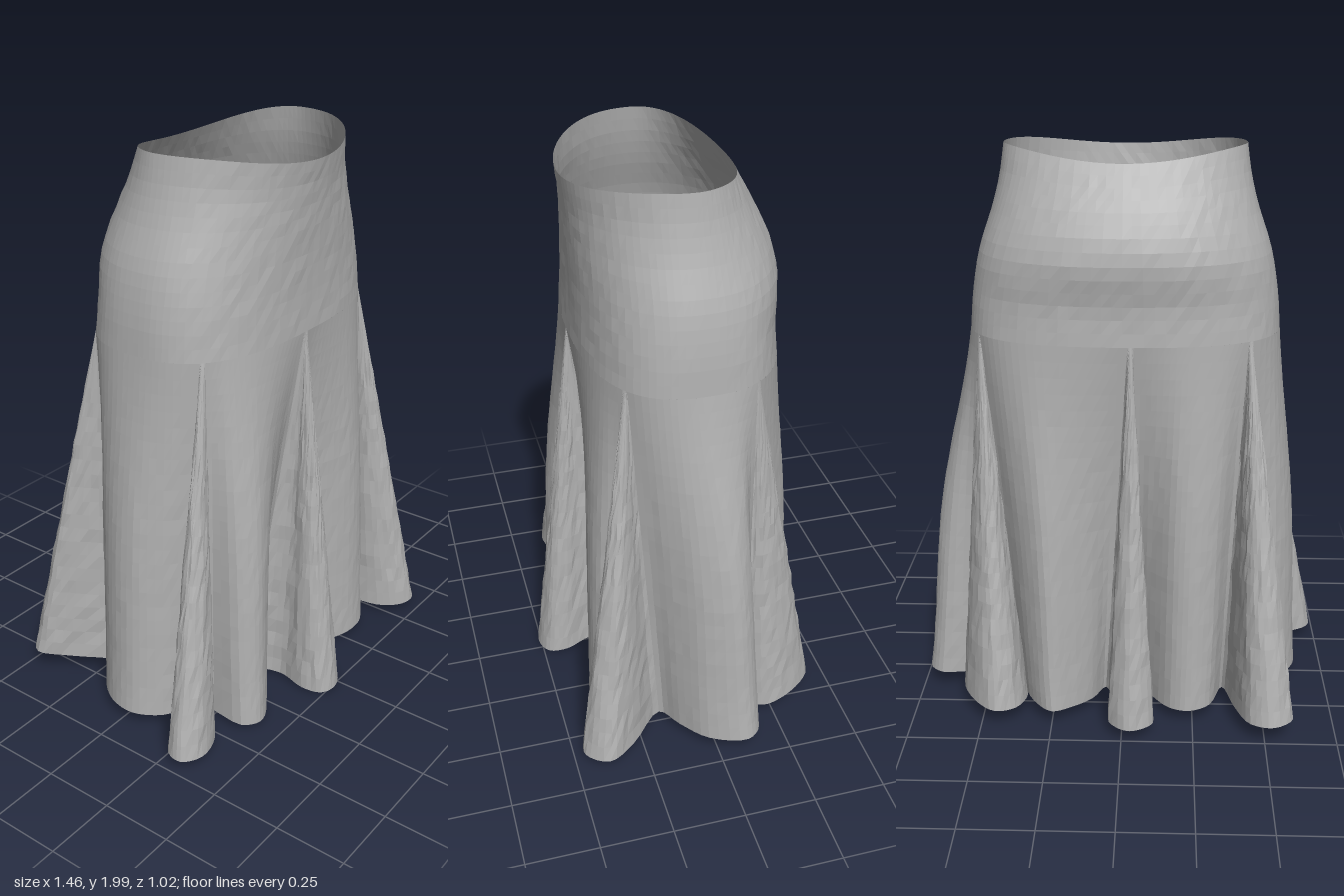
import * as THREE from 'three';

const SUB = 4;          // columns between neighbouring hem points
const HIP = 1.38;       // height where the godets begin
const MIDDLE = 0.02;    // z of the widest line of waist and hips
const YOKE_ROWS = 14, SKIRT_ROWS = 24;

// Hip and waist profile by height: half width, front z, back z, squareness
const heights = [1.38, 1.5, 1.65, 1.8, 1.9, 2.0];
const profile = new THREE.CubicInterpolant(heights, [
  0.537, 0.345, -0.326, 2.6,
  0.527, 0.34, -0.32, 2.5,
  0.50, 0.34, -0.334, 2.3,
  0.45, 0.345, -0.29, 2.15,
  0.425, 0.35, -0.245, 2.05,
  0.41, 0.36, -0.2, 2.0,
], 4);

// Godets: apex angle at the hip (0 = front, 90 = left side) and hem x, z from fold to fold
const godets = [
  { name: 'frontGodet', angle: -4, hem: [[-0.16, 0.2], [-0.1, 0.31], [-0.12, 0.42], [-0.1, 0.49], [-0.04, 0.51], [0.03, 0.48], [0.04, 0.41], [0.0, 0.31], [0.035, 0.16]] },
  { name: 'frontLeftGodet', angle: 48, hem: [[0.45, 0.245], [0.485, 0.38], [0.55, 0.455], [0.62, 0.465], [0.68, 0.39], [0.62, 0.29], [0.495, 0.165]] },
  { name: 'backLeftGodet', angle: 121, hem: [[0.56, -0.14], [0.585, -0.22], [0.53, -0.35], [0.45, -0.42], [0.38, -0.39], [0.345, -0.29], [0.37, -0.21]] },
  { name: 'backGodet', angle: 183, hem: [[0.065, -0.2], [0.035, -0.33], [0.045, -0.45], [-0.03, -0.51], [-0.11, -0.46], [-0.08, -0.34], [-0.015, -0.23], [-0.035, -0.145]] },
  { name: 'backRightGodet', angle: 227, hem: [[-0.36, -0.21], [-0.4, -0.36], [-0.45, -0.48], [-0.53, -0.51], [-0.6, -0.45], [-0.54, -0.34], [-0.44, -0.17]] },
  { name: 'frontRightGodet', angle: 308, hem: [[-0.495, 0.185], [-0.61, 0.22], [-0.72, 0.28], [-0.73, 0.34], [-0.66, 0.38], [-0.55, 0.35], [-0.445, 0.24]] },
];

// Body panels that follow each godet, hem x, z between the folds
const panels = [
  { name: 'frontLeftPanel', hem: [[0.1, 0.27], [0.18, 0.34], [0.3, 0.38], [0.39, 0.36]] },
  { name: 'leftPanel', hem: [[0.58, 0.11], [0.68, 0.03], [0.73, -0.1], [0.68, -0.155]] },
  { name: 'backLeftPanel', hem: [[0.32, -0.33], [0.25, -0.4], [0.18, -0.36], [0.11, -0.29]] },
  { name: 'backRightPanel', hem: [[-0.09, -0.24], [-0.17, -0.355], [-0.24, -0.38], [-0.31, -0.34]] },
  { name: 'rightPanel', hem: [[-0.56, -0.14], [-0.63, -0.05], [-0.64, 0.05], [-0.58, 0.14]] },
  { name: 'frontRightPanel', hem: [[-0.44, 0.38], [-0.38, 0.42], [-0.3, 0.39], [-0.23, 0.3]] },
];

// Repeatable value in -1..1 for cloth wrinkles
function wrinkle(i, j) {
  const v = Math.sin(i * 127.1 + j * 311.7) * 43758.5453;
  return 2 * (v - Math.floor(v)) - 1;
}

// Point on the fitted upper part; the rim dips at front and back
function yokePoint(degrees, y) {
  const [rx, front, back, n] = profile.evaluate(y);
  const a = THREE.MathUtils.degToRad(degrees), s = Math.sin(a), c = Math.cos(a);
  const r = 1 / Math.pow(Math.abs(s) ** n + Math.abs(c) ** n, 1 / n);
  const dip = 0.045 * Math.max(0, (y - 1.75) / 0.25) * Math.abs(c) ** 3;
  const depth = c > 0 ? front - MIDDLE : MIDDLE - back;
  return new THREE.Vector3(rx * r * s, y - dip, MIDDLE + depth * r * c);
}

// Join godets and panels into one ring of hem points with matching hip angles
function layOut() {
  const points = [], angles = [], pieces = [];
  const halfWidth = 1.3;
  godets.forEach((g, k) => {
    const next = k + 1 < godets.length ? godets[k + 1].angle : godets[0].angle + 360;
    const start = points.length, last = g.hem.length - 1;
    g.hem.forEach((p, i) => {
      points.push(p);
      angles.push(g.angle + halfWidth * (2 * i / last - 1));
    });
    pieces.push({ name: g.name, from: start, to: start + last, rough: 0.003, fullness: 0 });
    const panel = panels[k], from = g.angle + halfWidth, to = next - halfWidth;
    panel.hem.forEach((p, i) => {
      points.push(p);
      angles.push(from + (to - from) * (i + 1) / (panel.hem.length + 1));
    });
    pieces.push({ name: panel.name, from: start + last, to: points.length, rough: 0.001, fullness: 0.17 });
  });
  angles.push(godets[0].angle - halfWidth + 360);
  const curve = new THREE.CatmullRomCurve3(points.map(([x, z]) => new THREE.Vector3(x, 0, z)), true, 'centripetal');
  return { curve, angles, pieces, count: points.length };
}

// Sheet of quads from a rule giving the point for a column and row
function sheet(name, from, to, rows, material, pointAt) {
  const position = [], index = [], stride = rows + 1;
  for (let i = from; i <= to; i++) {
    for (let j = 0; j <= rows; j++) {
      position.push(...pointAt(i, j).toArray());
      if (i < to && j < rows) {
        const a = (i - from) * stride + j, b = a + stride;
        index.push(a, a + 1, b, b, a + 1, b + 1);
      }
    }
  }
  const geometry = new THREE.BufferGeometry();
  geometry.setAttribute('position', new THREE.Float32BufferAttribute(position, 3));
  geometry.setIndex(index);
  geometry.computeVertexNormals();
  const mesh = new THREE.Mesh(geometry, material);
  mesh.name = name;
  return mesh;
}

export function createModel() {
  const group = new THREE.Group();
  group.name = 'skirt';
  const cloth = new THREE.MeshStandardMaterial({ color: 0xb0b0b0, side: THREE.DoubleSide, flatShading: true });
  cloth.name = 'grey cloth';
  const { curve, angles, pieces, count } = layOut();
  const columns = count * SUB;

  const angleAt = (i) => {
    const k = Math.min(Math.floor(i / SUB), count - 1);
    return THREE.MathUtils.lerp(angles[k], angles[k + 1], i / SUB - k);
  };

  // Fitted waist and hips
  const yokeColumns = 96;
  group.add(sheet('yoke', 0, yokeColumns, YOKE_ROWS, cloth, (i, j) => {
    const p = yokePoint(360 * i / yokeColumns, 2 - (2 - HIP) * j / YOKE_ROWS);
    if (j > 0 && j < YOKE_ROWS) p.z += 0.0015 * wrinkle(i % yokeColumns, j);
    return p;
  }));

  // Flaring panels and godets, from the hip line to the wavy hem
  for (const piece of pieces) {
    const from = piece.from * SUB, to = piece.to * SUB;
    group.add(sheet(piece.name, from, to, SKIRT_ROWS, cloth, (i, j) => {
      const s = j / SKIRT_ROWS;
      const hem = curve.getPoint((i % columns) / columns);
      hem.y = 0.03 + 0.045 * Math.abs(hem.x) - 0.045 * hem.z;
      const p = yokePoint(angleAt(i), HIP);
      const y = THREE.MathUtils.lerp(p.y, hem.y, s);
      // panels swell out ahead of the straight seams
      const swell = piece.fullness * Math.sin(Math.PI * (i - from) / (to - from)) * Math.sin(Math.PI * s) ** 2;
      p.lerp(hem, s + swell).setY(y);
      if (i > from && i < to && j > 0 && j < SKIRT_ROWS) {
        const amount = piece.rough * Math.min(1, 3 * s);
        p.x += amount * wrinkle(i, j);
        p.z += amount * wrinkle(i + 0.5, j);
      }
      return p;
    }));
  }
  return group;
}
